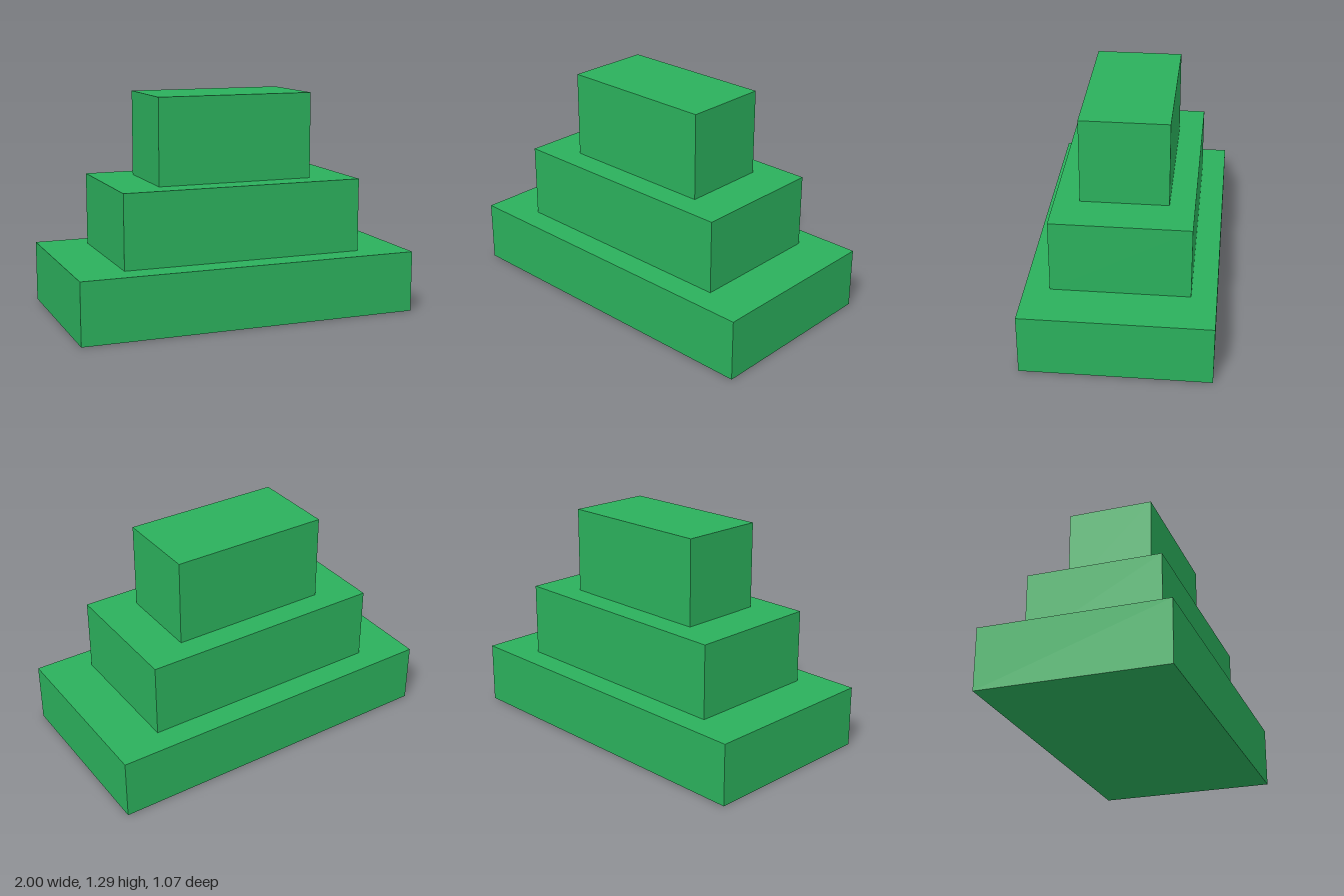
import * as THREE from 'three';

export function createModel() {
  const model = new THREE.Group();
  model.name = 'steppedBlock';
  const green = new THREE.MeshStandardMaterial({ color: 0x2bb05c });

  // Three centred tiers, stacked from the ground up: width, height, depth
  const unit = 1 / 14;
  const tiers = [
    ['bottomTier', 28, 5, 15],
    ['middleTier', 20, 6, 11],
    ['topTier', 13, 7, 7],
  ];

  let y = 0;
  for (const [name, width, height, depth] of tiers) {
    const geometry = new THREE.BoxGeometry(width * unit, height * unit, depth * unit);
    const tier = new THREE.Mesh(geometry, green);
    tier.name = name;
    tier.position.y = y + (height * unit) / 2;
    model.add(tier);
    y += height * unit;
  }
  return model;
}
